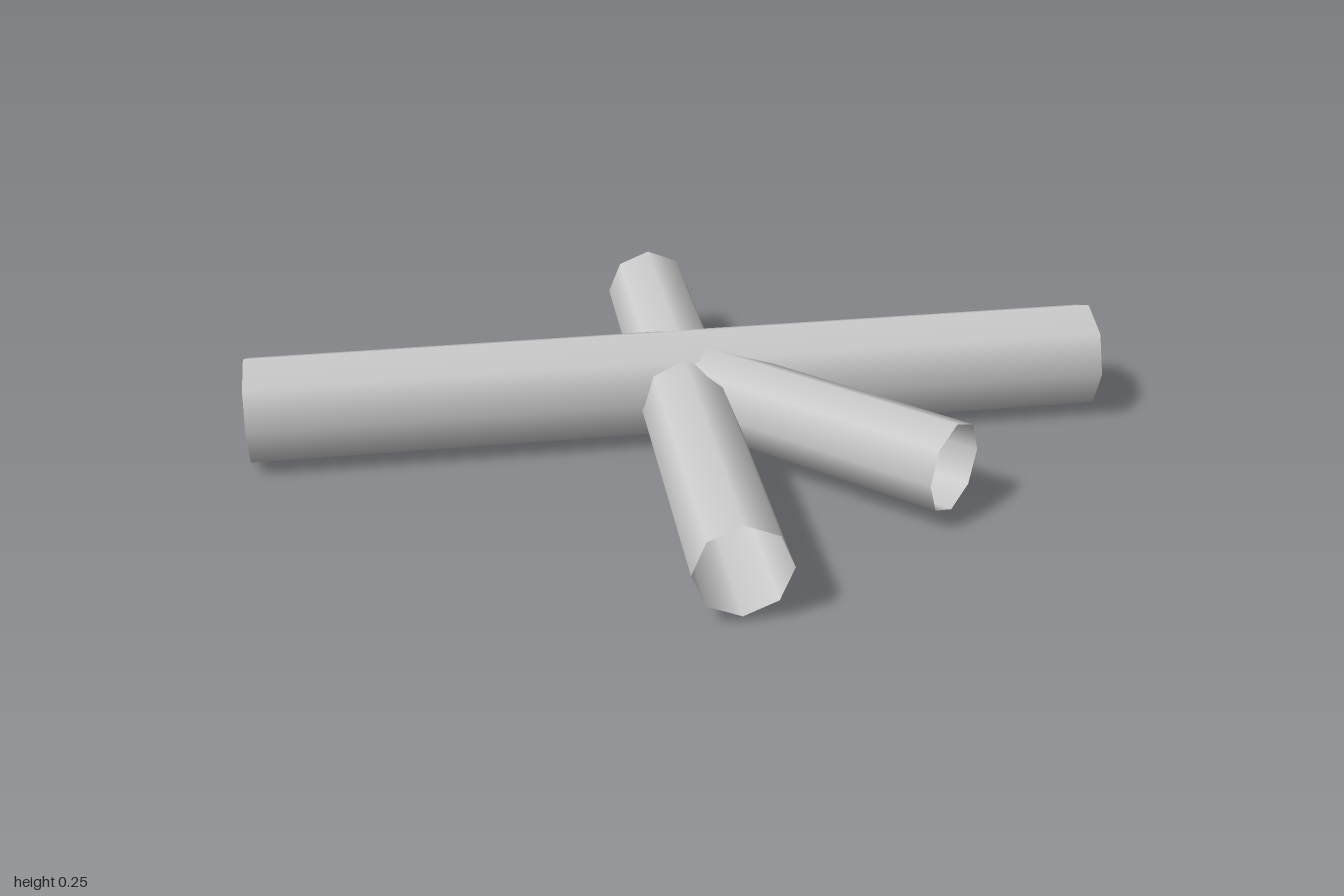
import * as THREE from 'three';

const material = new THREE.MeshStandardMaterial({ color: 0xcccccc, side: THREE.DoubleSide });

// Open eight-sided smooth tube between two points, with a corner facing up
function pipe(name, from, to, radius) {
  const a = new THREE.Vector3(...from);
  const b = new THREE.Vector3(...to);
  const dir = b.clone().sub(a);
  const geometry = new THREE.CylinderGeometry(radius, radius, dir.length(), 8, 1, true);
  geometry.rotateX(Math.PI / 2);
  geometry.rotateY(Math.atan2(dir.x, dir.z));
  const mesh = new THREE.Mesh(geometry, material);
  mesh.name = name;
  mesh.position.copy(a.add(b).multiplyScalar(0.5));
  return mesh;
}

export function createModel() {
  const model = new THREE.Group();
  model.name = 'pipeJunction';
  const z = -0.148; // axis of the main pipe

  model.add(
    pipe('mainPipe', [-1, 0.127, z], [1, 0.127, z], 0.127),
    // Branches start inside the main pipe, on its axis
    pipe('frontBranch', [-0.003, 0.117, z], [-0.003, 0.117, 0.697], 0.104),
    pipe('backBranch', [-0.002, 0.135, z], [-0.002, 0.135, -0.697], 0.104),
    pipe('diagonalBranch', [0, 0.129, z], [0.518, 0.129, 0.372], 0.104),
  );
  return model;
}
